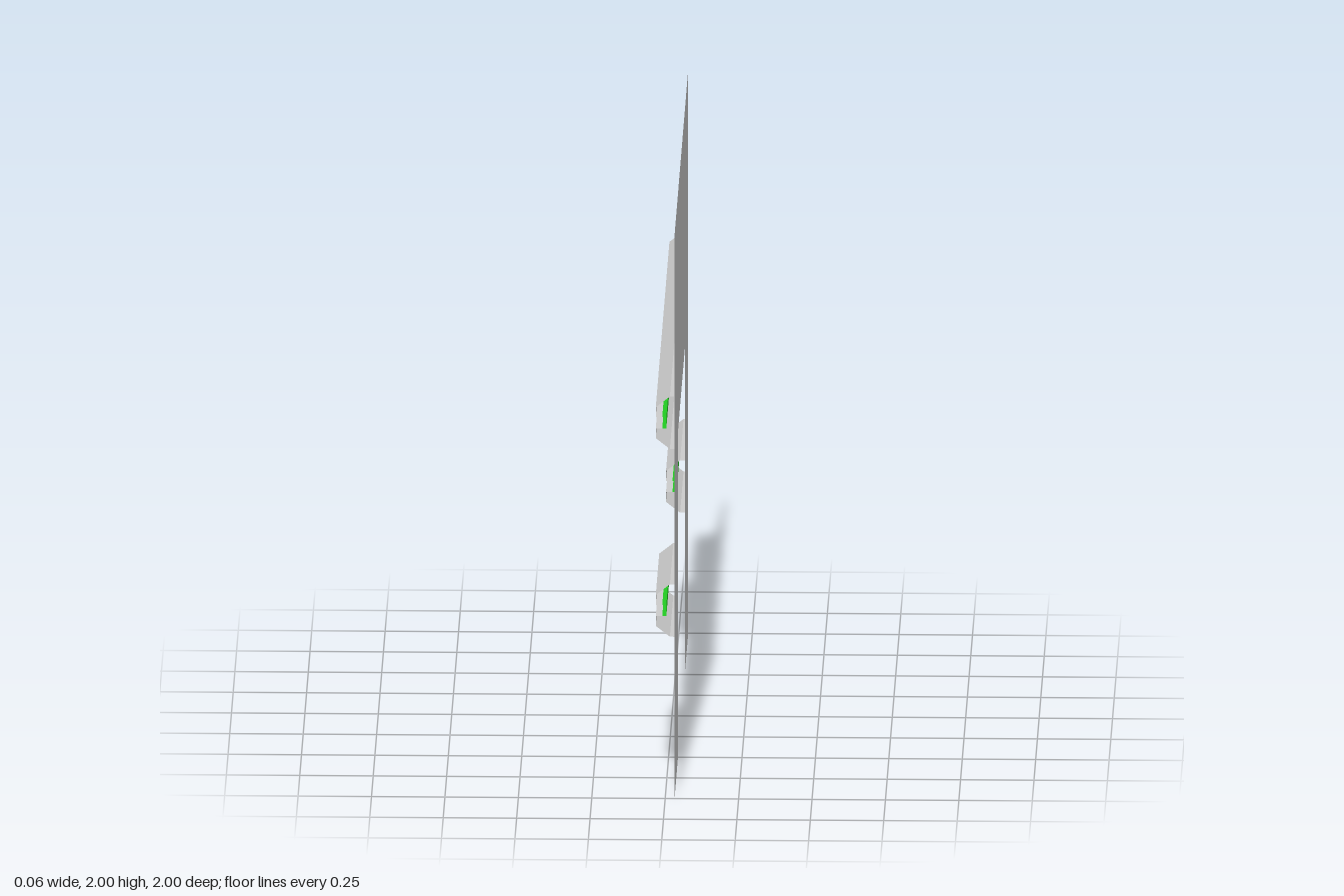
import * as THREE from 'three';

const HALF = 0.032; // half of the overall depth

// Open sheet: a profile of [x, y] points swept along z
function sweep(profile, z0, z1) {
  const pos = [];
  for (let i = 0; i < profile.length - 1; i++) {
    const [ax, ay] = profile[i];
    const [bx, by] = profile[i + 1];
    pos.push(ax, ay, z0, bx, by, z1, bx, by, z0);
    pos.push(ax, ay, z0, ax, ay, z1, bx, by, z1);
  }
  const g = new THREE.BufferGeometry();
  g.setAttribute('position', new THREE.Float32BufferAttribute(pos, 3));
  g.computeVertexNormals();
  return g;
}

export function createModel() {
  const model = new THREE.Group();
  model.name = 'wallPanelWithRails';

  const grey = new THREE.MeshStandardMaterial({ color: 0xcccccc, side: THREE.DoubleSide });
  const green = new THREE.MeshStandardMaterial({ color: 0x22cc22, side: THREE.DoubleSide });

  // Thin wall with a doorway cut out of its lower edge
  const outline = [[-1, 0], [-0.5, 0], [-0.5, 1.155], [0.5, 1.155], [0.5, 0], [1, 0], [1, 2], [-1, 2]];
  const shape = new THREE.Shape(outline.map(([z, y]) => new THREE.Vector2(z, y)));
  const wall = new THREE.Mesh(new THREE.ShapeGeometry(shape).rotateY(Math.PI / 2), grey);
  wall.position.x = HALF;
  wall.name = 'wall';
  model.add(wall);

  // Upper half of the rail section: short flat, bevel, outer face, groove side
  const upper = [[HALF, 0.093], [0.016, 0.093], [-HALF, 0.055], [-HALF, 0.02], [-0.01, 0.02]];
  const lower = upper.map(([x, y]) => [x, -y]).reverse();
  // Coloured channel at the bottom of the groove
  const channel = [[-0.01, 0.02], [0.004, 0.02], [0.004, -0.02], [-0.01, -0.02]];

  function addRail(name, y, z0, z1) {
    const rail = new THREE.Group();
    rail.name = name;
    const parts = [['upperLip', upper, grey], ['lowerLip', lower, grey], ['grooveChannel', channel, green]];
    for (const [partName, profile, material] of parts) {
      const mesh = new THREE.Mesh(sweep(profile, z0, z1), material);
      mesh.name = partName;
      rail.add(mesh);
    }
    rail.position.y = y;
    model.add(rail);
  }

  // One rail across the full width, one short rail on each leg
  addRail('upperRail', 1.333, -1, 1);
  addRail('frontLegRail', 0.667, 0.5, 1);
  addRail('backLegRail', 0.667, -1, -0.5);

  return model;
}
